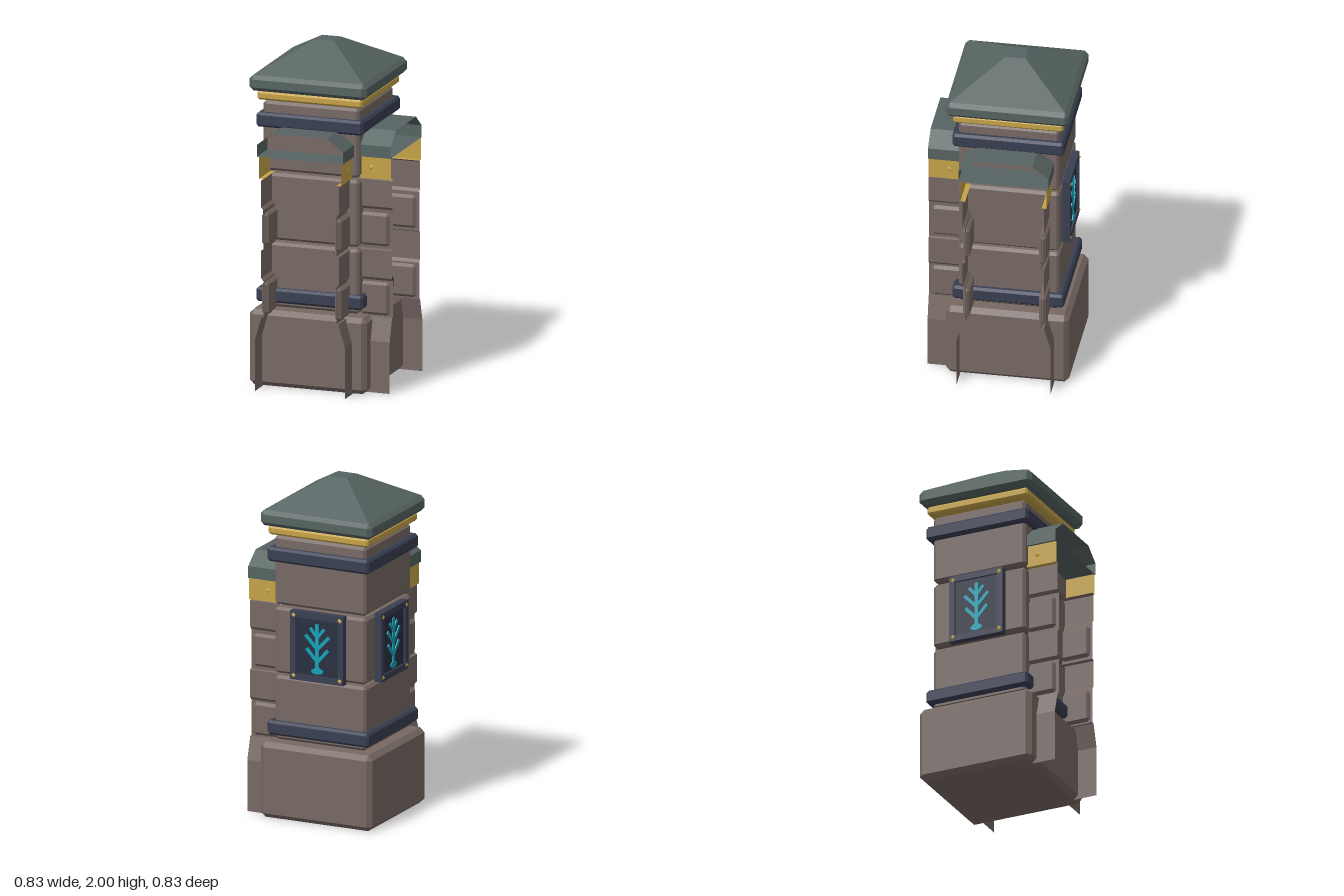
import * as THREE from 'three';

const mat = (name, color, open) => {
  const m = new THREE.MeshStandardMaterial({ color });
  m.name = name;
  if (open) m.side = THREE.DoubleSide;
  return m;
};

export function createModel() {
  const stone = mat('brown stone', 0x776964, true);
  const slate = mat('green slate', 0x566462, true);
  const gold = mat('gold', 0xc6a349, true);
  const navy = mat('navy metal', 0x393f52);
  const darkNavy = mat('dark navy', 0x2a3042);
  const cyan = mat('cyan', 0x14a3b8);

  const add = (parent, name, geometry, material, x = 0, y = 0, z = 0) => {
    const mesh = new THREE.Mesh(geometry, material);
    mesh.name = name;
    mesh.position.set(x, y, z);
    parent.add(mesh);
    return mesh;
  };

  // Flat-shaded geometry from a list of quads
  const fromQuads = (quads) => {
    const pos = [];
    for (const [a, b, c, d] of quads) pos.push(...a, ...b, ...c, ...a, ...c, ...d);
    const g = new THREE.BufferGeometry();
    g.setAttribute('position', new THREE.Float32BufferAttribute(pos, 3));
    g.computeVertexNormals();
    return g;
  };

  // Stack of chamfered rectangles [halfX, halfZ, chamfer, y], closed at both ends
  const loft = (rings) => {
    const loops = rings.map(([w, d, c, y]) => [
      [w, y, d - c], [w, y, c - d], [w - c, y, -d], [c - w, y, -d],
      [-w, y, c - d], [-w, y, d - c], [c - w, y, d], [w - c, y, d]]);
    const quads = [];
    for (let i = 0; i < loops.length - 1; i++) {
      for (let k = 0; k < 8; k++) {
        const n = (k + 1) % 8;
        quads.push([loops[i][k], loops[i][n], loops[i + 1][n], loops[i + 1][k]]);
      }
    }
    const b = loops[0], t = loops[loops.length - 1];
    for (const [i, j, k, l] of [[0, 1, 2, 3], [0, 3, 4, 7], [4, 5, 6, 7]]) {
      quads.push([t[i], t[j], t[k], t[l]], [b[l], b[k], b[j], b[i]]);
    }
    return fromQuads(quads);
  };

  // Box with cut edges, standing from y0 to y1
  const bevelBox = (w, d, y0, y1, b) => loft([
    [w - b, d - b, 0, y0], [w, d, b, y0 + b], [w, d, b, y1 - b], [w - b, d - b, 0, y1]]);

  // Profile of [z, y] points swept along x, without end caps
  const sweep = (pts, x0, x1) => fromQuads(pts.slice(1).map(([z, y], i) => {
    const [pz, py] = pts[i];
    return [[x0, py, pz], [x1, py, pz], [x1, y, z], [x0, y, z]];
  }));
  const mirrored = (pts) => pts.map(([z, y]) => [-z, y]).reverse();

  const model = new THREE.Group();
  model.name = 'cornerPillar';
  const pillar = new THREE.Group();
  pillar.name = 'pillar';
  pillar.position.set(-0.058, 0, -0.058);
  model.add(pillar);

  // Pillar base, core and stone courses
  add(pillar, 'base', bevelBox(0.358, 0.358, 0, 0.45, 0.028), stone);
  add(pillar, 'core', new THREE.BoxGeometry(0.32, 1.4, 0.32), stone, 0, 1.1, 0);
  for (const [y0, y1] of [[0.46, 0.84], [0.855, 1.25], [1.265, 1.675]]) {
    add(pillar, 'stoneCourse', bevelBox(0.293, 0.293, y0, y1, 0.016), stone);
  }

  // Metal bands and roof
  for (const y of [0.49, 1.525]) add(pillar, 'navyBand', bevelBox(0.325, 0.325, y, y + 0.085, 0.014), navy);
  add(pillar, 'goldBand', bevelBox(0.32, 0.32, 1.685, 1.737, 0.012), gold);
  add(pillar, 'roof', loft([
    [0.335, 0.335, 0, 1.742], [0.358, 0.358, 0.024, 1.765], [0.358, 0.358, 0.024, 1.812],
    [0.335, 0.335, 0, 1.835], [0.0575, 0.0575, 0, 2]]), slate);

  // Wall stubs towards +x and +z
  const wall = [[0.274, 0], [0.274, 0.305], [0.235, 0.44], [0.222, 0.44], [0.222, 0.655],
    [0.237, 0.672], [0.237, 0.835], [0.222, 0.842], [0.222, 1.075], [0.237, 1.092],
    [0.237, 1.25], [0.222, 1.26]];
  const trim = [[0.222, 1.26], [0.25, 1.26], [0.25, 1.39]];
  const cap = [[0.2625, 1.39], [0.2625, 1.46], [0.1675, 1.535]];
  const capLoop = [...cap, ...mirrored(cap), cap[0]];
  const rivet = new THREE.ConeGeometry(0.018, 0.012, 4).rotateX(Math.PI / 2);
  for (const turn of [0, -Math.PI / 2]) {
    const stub = new THREE.Group();
    stub.name = 'wallStub';
    stub.rotation.y = turn;
    pillar.add(stub);
    add(stub, 'wallCap', sweep(capLoop, 0.285, 0.475), slate);
    for (const s of [1, -1]) {
      const side = (p) => (s > 0 ? p : mirrored(p));
      add(stub, 'wallSide', sweep(side(wall), 0.28, 0.475), stone);
      add(stub, 'wallTrim', sweep(side(trim), 0.285, 0.475), gold);
      for (const y of [0.45, 0.86]) {
        add(stub, 'wallBlock', bevelBox(0.089, 0.02, y, y + 0.195, 0.016), stone, 0.369, 0, s * 0.222);
      }
      add(stub, 'rivet', rivet, gold, 0.353, 1.327, s * 0.255).rotation.y = s > 0 ? 0 : Math.PI;
    }
  }

  // Tree emblem: tapered branches as thin plates
  const branch = (parent, x0, y0, x1, y1, w) => {
    const len = Math.hypot(x1 - x0, y1 - y0);
    const m = add(parent, 'emblemBranch', new THREE.BoxGeometry(w, len, 0.008), cyan,
      (x0 + x1) / 2, (y0 + y1) / 2, 0.325);
    m.rotation.z = -Math.atan2(x1 - x0, y1 - y0);
  };

  // Framed panels on the two outer faces
  for (const turn of [Math.PI, -Math.PI / 2]) {
    const panel = new THREE.Group();
    panel.name = 'panel';
    panel.position.y = 1.05;
    panel.rotation.y = turn;
    pillar.add(panel);
    add(panel, 'panelPlate', new THREE.BoxGeometry(0.32, 0.38, 0.035), darkNavy, 0, 0, 0.305);
    for (const s of [1, -1]) {
      add(panel, 'frameUpright', new THREE.BoxGeometry(0.036, 0.41, 0.045), navy, s * 0.152, 0, 0.3125);
      add(panel, 'frameRail', new THREE.BoxGeometry(0.268, 0.036, 0.045), navy, 0, s * 0.187, 0.3125);
      for (const t of [1, -1]) add(panel, 'panelRivet', rivet, gold, s * 0.148, t * 0.18, 0.339);
    }
    branch(panel, 0, -0.14, 0, 0.14, 0.022);
    for (const s of [1, -1]) {
      branch(panel, 0, -0.085, s * 0.068, -0.01, 0.02);
      branch(panel, 0, -0.01, s * 0.075, 0.07, 0.02);
      branch(panel, 0, 0.06, s * 0.045, 0.115, 0.018);
      branch(panel, 0, -0.12, s * 0.035, -0.145, 0.016);
    }
    const root = add(panel, 'emblemRoot', new THREE.CylinderGeometry(0.036, 0.036, 0.008, 10).rotateX(Math.PI / 2),
      cyan, 0, -0.145, 0.325);
    root.scale.y = 0.4;
  }

  return model;
}
